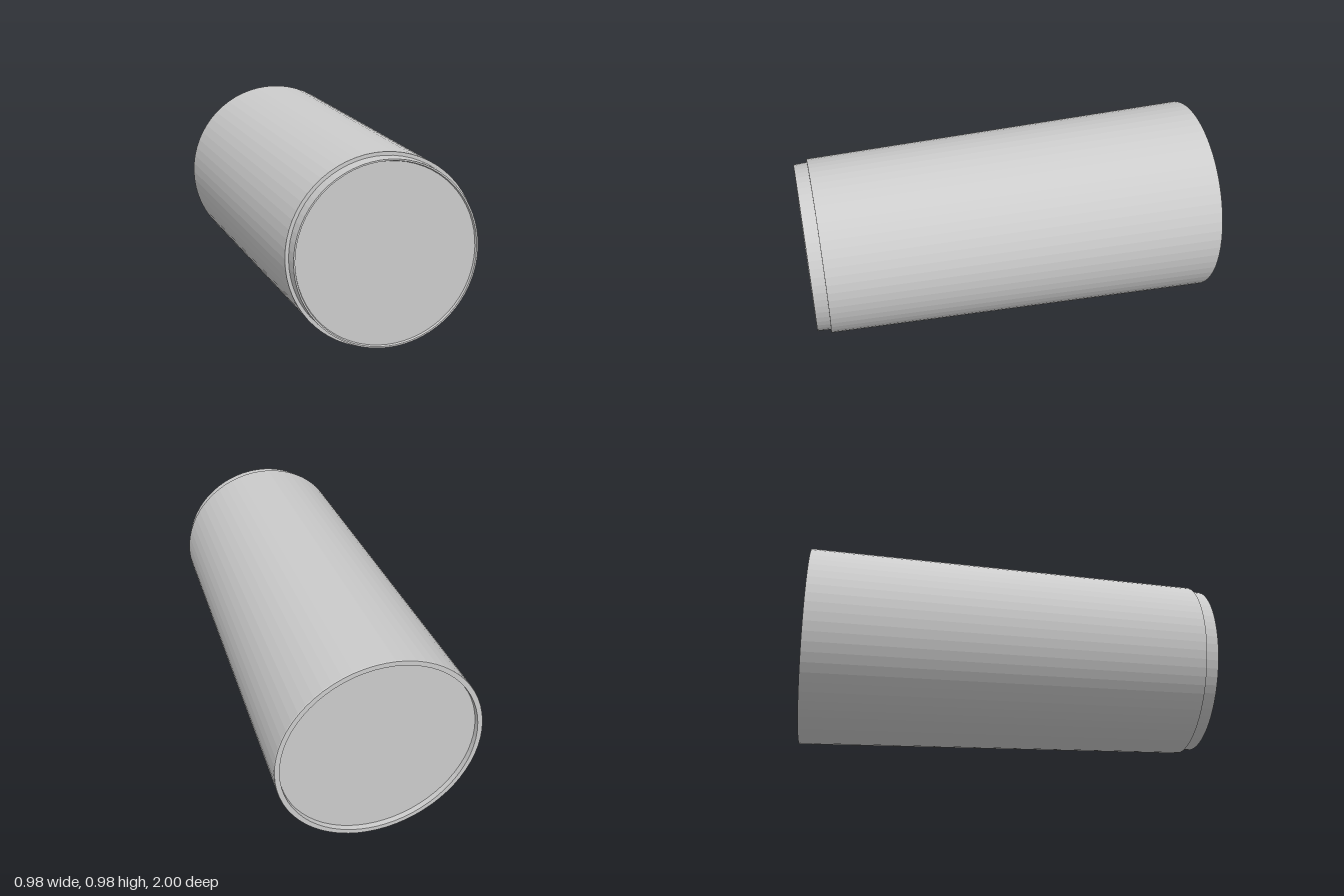
import * as THREE from 'three';

const SEGMENTS = 64;
const CENTRE_Y = 0.488;

// Surface of revolution about the z axis; profile points are [radius, z], back to front
function turned(name, profile, material) {
  const points = profile.map(([r, z]) => new THREE.Vector2(r, z));
  const geometry = new THREE.LatheGeometry(points, SEGMENTS).rotateX(Math.PI / 2);
  const mesh = new THREE.Mesh(geometry, material);
  mesh.name = name;
  mesh.position.y = CENTRE_Y;
  return mesh;
}

export function createModel() {
  const material = new THREE.MeshStandardMaterial({ color: 0xcccccc, flatShading: true });
  const group = new THREE.Group();
  group.name = 'taperedCup';

  group.add(
    // Recessed disc at the wide end
    turned('backDisc', [[0, -0.975], [0.461, -0.975]], material),
    // Rim around the wide end
    turned('backRim', [[0.461, -0.975], [0.463, -1], [0.486, -1], [0.488, -0.995]], material),
    // Long tapered wall, ending in a shoulder
    turned('taperedWall', [[0.488, -0.995], [0.435, 0.935], [0.419, 0.935]], material),
    // Narrow collar with a thin lip at the small end
    turned('frontCollar', [[0.419, 0.935], [0.415, 1], [0.408, 1], [0.405, 0.988]], material),
    // Slightly recessed disc at the small end
    turned('frontDisc', [[0.405, 0.988], [0, 0.988]], material),
  );
  return group;
}
